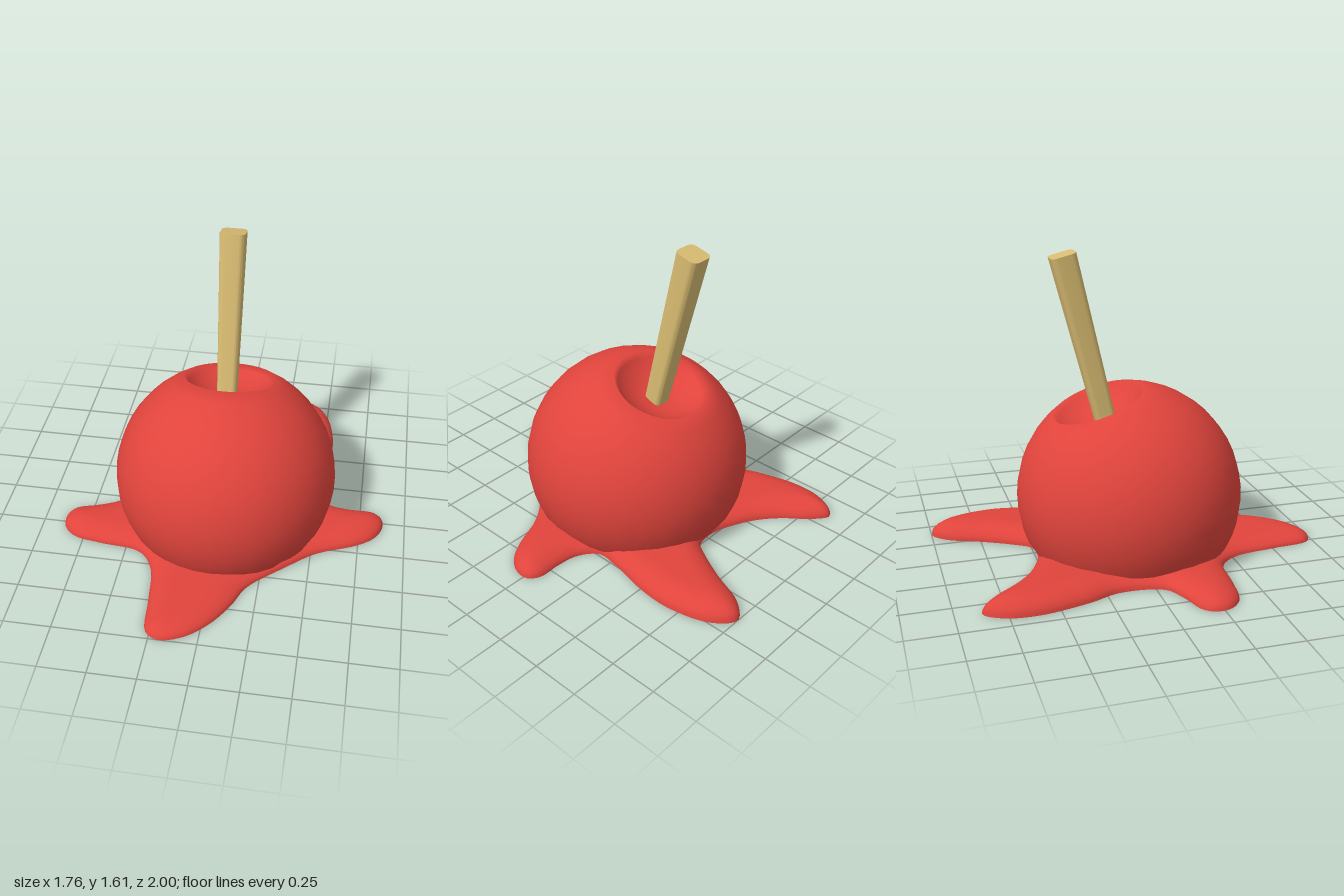
import * as THREE from 'three';
import { toCreasedNormals } from 'three/addons/utils/BufferGeometryUtils.js';

const red = new THREE.MeshStandardMaterial({ color: 0xe0443c });
const wood = new THREE.MeshStandardMaterial({ color: 0xd9bc72 });

// Round fruit with a dimple around the stick, tilted backwards, flat underneath
function createApple() {
  const R = 0.6, rim = Math.asin(0.25 / R), profile = [];
  for (let i = 0; i <= 20; i++) {
    const a = Math.PI - (Math.PI - rim) * i / 20;
    profile.push(new THREE.Vector2(R * Math.sin(a), R * Math.cos(a)));
  }
  for (const [r, y] of [[0.225, 0.518], [0.19, 0.489], [0.14, 0.458], [0.08, 0.438], [0, 0.43]]) {
    profile.push(new THREE.Vector2(r, y));
  }
  const geometry = new THREE.LatheGeometry(profile, 32);
  geometry.rotateX(-0.32);
  geometry.translate(-0.005, 0.3, 0.027);
  const p = geometry.attributes.position;
  for (let i = 0; i < p.count; i++) p.setY(i, Math.max(p.getY(i), 0.01));
  const mesh = new THREE.Mesh(geometry, red);
  mesh.name = 'apple';
  return mesh;
}

// Tapered stick with a rounded square section
function createStick() {
  const w = 0.066, r = 0.032, length = 0.925;
  const s = new THREE.Shape();
  [[1, 1, 0], [-1, 1, 1], [-1, -1, 2], [1, -1, 3]].forEach(([x, y, q]) => {
    s.absarc(x * (w - r), y * (w - r), r, q * Math.PI / 2, (q + 1) * Math.PI / 2, false);
  });
  let geometry = new THREE.ExtrudeGeometry(s, { depth: length, bevelEnabled: false, curveSegments: 5 });
  geometry.rotateX(-Math.PI / 2);
  const p = geometry.attributes.position;
  for (let i = 0; i < p.count; i++) {
    const k = 0.77 + 0.23 * p.getY(i) / length;
    p.setXYZ(i, p.getX(i) * k, p.getY(i), p.getZ(i) * k);
  }
  geometry = toCreasedNormals(geometry, 0.7);
  const mesh = new THREE.Mesh(geometry, wood);
  mesh.name = 'stick';
  mesh.position.set(-0.018, 0.697, -0.101);
  mesh.rotation.x = -0.243;
  return mesh;
}

// Outline of the five-armed syrup puddle as x, z pairs
const outline = [
  [0.07, -0.5], [0.13, -0.58], [0.22, -0.75], [0.3, -0.93], [0.39, -1], [0.49, -0.91], [0.55, -0.7], [0.545, -0.52],
  [0.5, -0.3], [0.49, -0.16], [0.58, -0.085], [0.7, -0.065], [0.82, -0.063], [0.875, -0.02], [0.875, 0.05],
  [0.83, 0.13], [0.74, 0.195], [0.53, 0.29], [0.37, 0.42], [0.19, 0.59], [0.13, 0.72], [0.04, 0.86], [-0.08, 0.965],
  [-0.2, 1], [-0.27, 0.96], [-0.3, 0.75], [-0.335, 0.53], [-0.42, 0.42], [-0.65, 0.385], [-0.8, 0.355],
  [-0.87, 0.29], [-0.883, 0.22], [-0.85, 0.155], [-0.7, 0.1], [-0.6, 0.04], [-0.57, -0.18], [-0.63, -0.35],
  [-0.685, -0.6], [-0.67, -0.77], [-0.6, -0.87], [-0.52, -0.82], [-0.4, -0.68], [-0.3, -0.595], [-0.2, -0.54], [-0.06, -0.49],
];

// Puddle with rounded edges: height grows with the distance from the outline
function createPuddle() {
  const N = 240;
  const curve = new THREE.CatmullRomCurve3(outline.map(([x, z]) => new THREE.Vector3(x, 0, z)), true);
  const edge = curve.getSpacedPoints(N).slice(0, N);
  const scales = [1, 0.995, 0.985, 0.97, 0.95, 0.92, 0.88, 0.83, 0.77, 0.71, 0.65, 0.59, 0.53, 0.4];
  const line = new THREE.Line3(), near = new THREE.Vector3();
  const positions = [], index = [];
  for (const s of scales) {
    for (const e of edge) {
      const v = e.clone().multiplyScalar(s);
      let d = 1;
      if (s === 1) d = 0;
      else for (let i = 0; i < N; i++) {
        line.set(edge[i], edge[(i + 1) % N]);
        line.closestPointToPoint(v, true, near);
        d = Math.min(d, near.distanceTo(v));
      }
      const peak = THREE.MathUtils.clamp(0.073 - 0.022 * v.z, 0.06, 0.087);
      const k = 1 - Math.min(d / 0.14, 1);
      positions.push(v.x, peak * Math.sqrt(1 - k * k), v.z);
    }
  }
  for (let r = 0; r < scales.length - 1; r++) {
    for (let i = 0; i < N; i++) {
      const j = (i + 1) % N, a = r * N + i, b = r * N + j;
      index.push(a + N, b, a, a + N, b + N, b);
    }
  }
  // Close the middle, which lies inside the apple
  const center = positions.length / 3, last = (scales.length - 1) * N;
  positions.push(0, 0.07, 0);
  for (let i = 0; i < N; i++) index.push(center, last + (i + 1) % N, last + i);
  const top = new THREE.BufferGeometry();
  top.setAttribute('position', new THREE.Float32BufferAttribute(positions, 3));
  top.setIndex(index);
  top.computeVertexNormals();

  // Flat underside
  const bottom = new THREE.ShapeGeometry(new THREE.Shape(edge.map((e) => new THREE.Vector2(e.x, e.z))));
  bottom.rotateX(Math.PI / 2);

  const group = new THREE.Group();
  group.name = 'syrupPuddle';
  [['puddleTop', top], ['puddleUnderside', bottom]].forEach(([name, geometry]) => {
    const mesh = new THREE.Mesh(geometry, red);
    mesh.name = name;
    group.add(mesh);
  });
  return group;
}

export function createModel() {
  const model = new THREE.Group();
  model.name = 'candyApple';
  model.add(createApple(), createStick(), createPuddle());
  return model;
}
